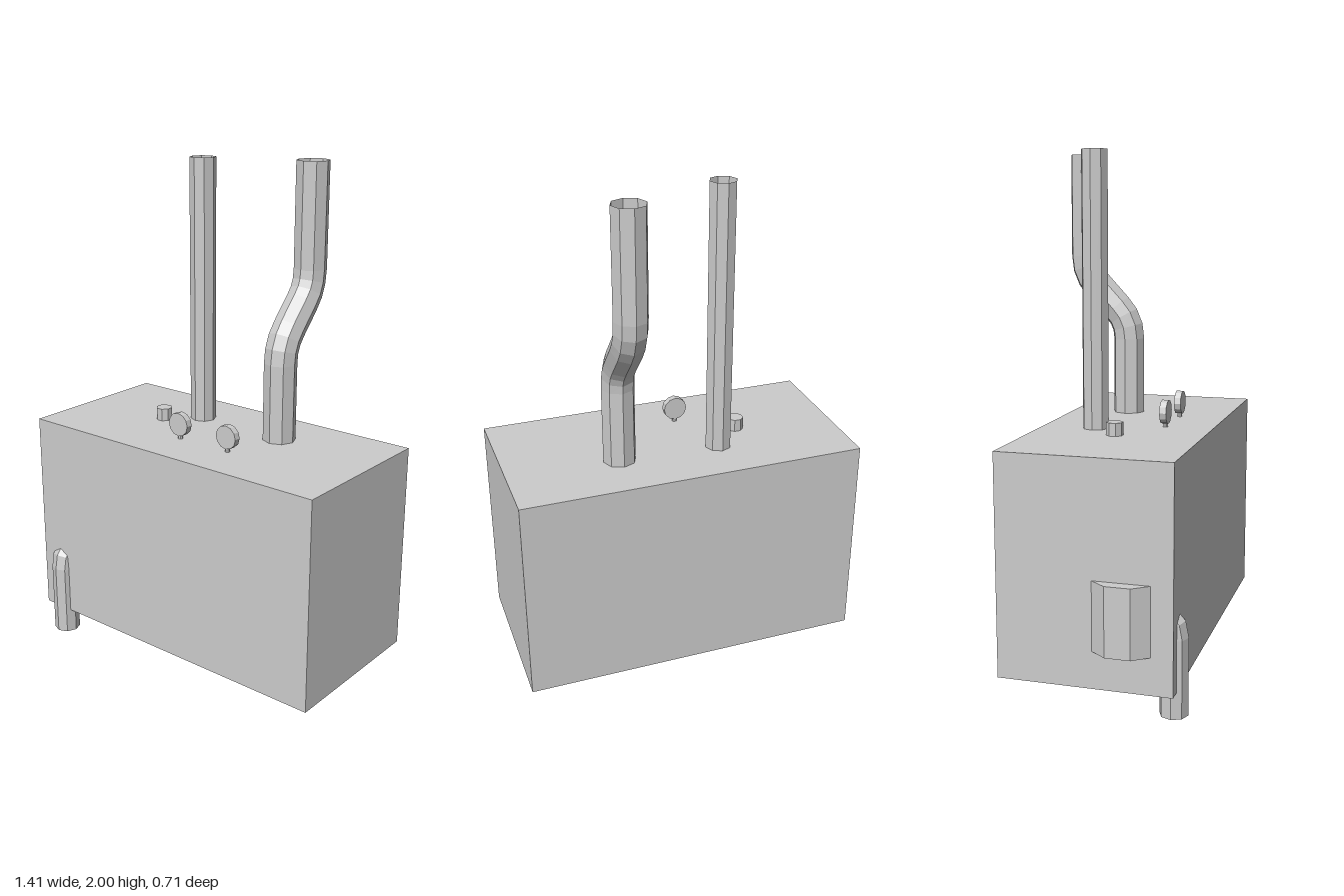
import * as THREE from 'three';

const grey = new THREE.MeshStandardMaterial({ color: 0xcccccc, flatShading: true });
grey.name = 'grey metal';
const openGrey = grey.clone();
openGrey.name = 'grey metal, two sided';
openGrey.side = THREE.DoubleSide;

function add(group, name, geometry, x, y, z, material = grey) {
  const mesh = new THREE.Mesh(geometry, material);
  mesh.name = name;
  mesh.position.set(x, y, z);
  group.add(mesh);
  return mesh;
}

// Three-segment rounded corner in the (z, y) plane
function bend(a, corner, b) {
  return new THREE.QuadraticBezierCurve(
    new THREE.Vector2(...a), new THREE.Vector2(...corner), new THREE.Vector2(...b)
  ).getPoints(3);
}

// Open eight-sided pipe swept along a path of (z, y) points
function pipeGeometry(path, radius, sides = 8) {
  const pos = [], index = [];
  path.forEach((p, i) => {
    const prev = path[Math.max(i - 1, 0)], next = path[Math.min(i + 1, path.length - 1)];
    const t = next.clone().sub(prev).normalize();
    for (let s = 0; s < sides; s++) {
      const a = (s / sides) * Math.PI * 2;
      const side = radius * Math.sin(a);
      pos.push(radius * Math.cos(a), p.y - t.x * side, p.x + t.y * side);
      if (i < path.length - 1) {
        const a0 = i * sides + s, b0 = i * sides + (s + 1) % sides;
        index.push(a0, a0 + sides, b0, b0, a0 + sides, b0 + sides);
      }
    }
  });
  const g = new THREE.BufferGeometry();
  g.setAttribute('position', new THREE.Float32BufferAttribute(pos, 3));
  g.setIndex(index);
  g.computeVertexNormals();
  return g;
}

export function createModel() {
  const model = new THREE.Group();
  model.name = 'tank with pipes';

  // Main tank
  add(model, 'tank', new THREE.BoxGeometry(1.362, 0.84, 0.657), 0.022, 0.52, -0.007);

  // Straight vent pipe
  const v = (z, y) => new THREE.Vector2(z, y);
  add(model, 'straightPipe', pipeGeometry([v(-0.122, 0.9), v(-0.122, 2)], 0.052), -0.143, 0, 0, openGrey);

  // Offset exhaust pipe
  const exhaust = [
    v(-0.104, 0.9),
    ...bend([-0.104, 1.25], [-0.104, 1.325], [-0.156, 1.377]),
    ...bend([-0.236, 1.463], [-0.288, 1.515], [-0.288, 1.59]),
    v(-0.288, 2),
  ];
  add(model, 'bentPipe', pipeGeometry(exhaust, 0.065), 0.257, 0, 0, openGrey);

  // Drain pipe coming out of the front and turning down
  const drain = [
    v(0.302, 0),
    ...bend([0.302, 0.29], [0.302, 0.365], [0.235, 0.365]),
    v(0.15, 0.365),
  ];
  add(model, 'drainPipe', pipeGeometry(drain, 0.053), -0.566, 0, 0, openGrey);

  // Filler cap
  const cap = new THREE.CylinderGeometry(0.033, 0.033, 0.05, 8);
  cap.rotateY(Math.PI / 8);
  add(model, 'fillerCap', cap, -0.26, 0.965, -0.01);

  // Two round valve knobs on short stems
  for (const x of [-0.05, 0.187]) {
    const knob = new THREE.CylinderGeometry(0.047, 0.047, 0.027, 12);
    knob.rotateX(Math.PI / 2);
    add(model, 'knob', knob, x, 1, 0.133);
    add(model, 'knobStem', new THREE.CylinderGeometry(0.01, 0.01, 0.05, 8), x, 0.955, 0.133);
  }

  // Chamfered box on the right side
  const outline = new THREE.Shape([
    v(-0.655, -0.02), v(-0.705, -0.085), v(-0.705, -0.18), v(-0.655, -0.245),
  ]);
  const sideBox = new THREE.ExtrudeGeometry(outline, { depth: 0.26, bevelEnabled: false });
  sideBox.rotateX(-Math.PI / 2);
  add(model, 'sideBox', sideBox, 0, 0.24, 0);

  return model;
}
